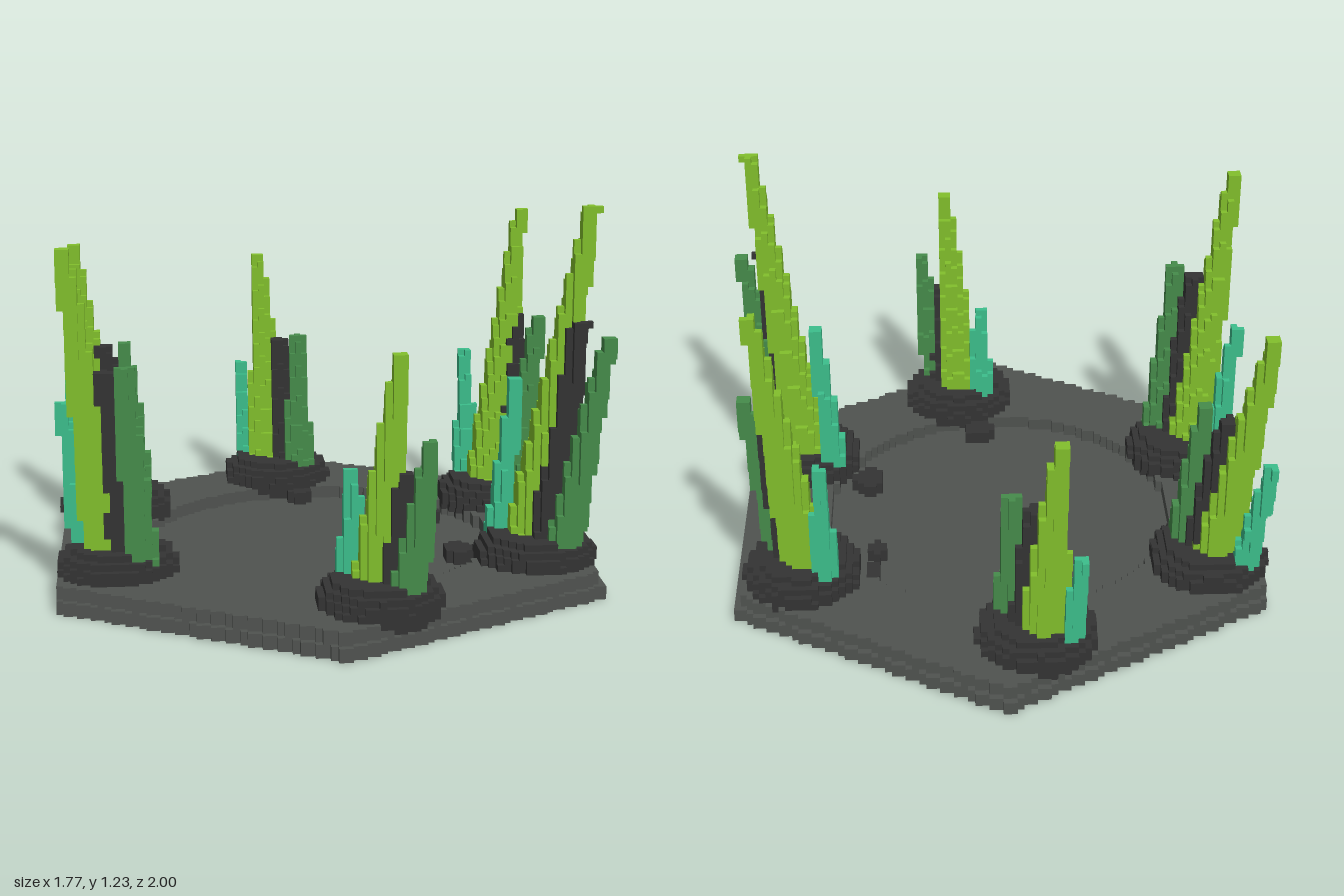
import * as THREE from 'three';

// Voxel grid: x and z run from -1 to 1, y starts at 0
const N = 94, NY = 60, S = 2 / N;

const material = (name, color) => Object.assign(new THREE.MeshStandardMaterial({ color }), { name });

// Each cluster: mound centre, then spikes as [base x, base z, tip x, tip z, tip height]
const clusters = [
  { mound: [-0.115, -0.73], lime: [-0.13, -0.76, -0.17, -0.89, 0.9], green: [-0.04, -0.67, -0.03, -0.74, 0.62],
    teal: [-0.21, -0.8, -0.24, -0.89, 0.48], rock: [-0.08, -0.72, -0.1, -0.78, 0.6] },
  { mound: [0.63, -0.38], lime: [0.62, -0.38, 0.74, -0.5, 1.1], green: [0.69, -0.31, 0.79, -0.37, 0.75],
    teal: [0.55, -0.46, 0.56, -0.54, 0.6], rock: [0.66, -0.36, 0.72, -0.43, 0.74] },
  { mound: [0.655, 0.32], lime: [0.64, 0.28, 0.8, 0.39, 1.24], green: [0.73, 0.39, 0.85, 0.45, 0.84],
    teal: [0.55, 0.23, 0.6, 0.235, 0.67], rock: [0.68, 0.34, 0.77, 0.39, 0.88] },
  { mound: [0.105, 0.73], lime: [0.1, 0.7, 0.15, 0.84, 0.87], green: [0.18, 0.79, 0.24, 0.86, 0.61],
    teal: [0.02, 0.66, 0.03, 0.67, 0.48], rock: [0.14, 0.74, 0.17, 0.81, 0.5] },
  { mound: [-0.685, 0.325], lime: [-0.71, 0.33, -0.83, 0.43, 1.13], green: [-0.61, 0.4, -0.65, 0.46, 0.76],
    teal: [-0.79, 0.28, -0.85, 0.27, 0.62], rock: [-0.66, 0.37, -0.71, 0.42, 0.74] },
  { mound: [-0.695, -0.35], lime: [-0.71, -0.36, -0.84, -0.49, 1.0], green: [-0.62, -0.3, -0.66, -0.35, 0.68],
    teal: [-0.8, -0.42, -0.86, -0.51, 0.55], rock: [-0.66, -0.34, -0.73, -0.4, 0.66] },
];

// Small stones by the inner ring: x, z, half sizes
const stones = [
  [0.4, -0.36, 0.025, 0.05], [0.395, -0.24, 0.025, 0.04], [0.43, 0.19, 0.05, 0.06],
  [0.04, 0.51, 0.055, 0.045], [-0.04, -0.53, 0.04, 0.04],
];

// Radius of each kind of spike at its foot and at its tip
const spikeRadius = { rock: [0.065, 0.03], teal: [0.045, 0.02], green: [0.06, 0.023], lime: [0.08, 0.022] };

function createModel() {
  const stone = material('grey stone', 0x505350);
  const dark = material('dark rock', 0x343434);
  const parts = [
    null,
    ['hexagonBase', stone],
    ['rockMounds', dark],
    ['rockSpikes', dark],
    ['tealCrystals', material('teal crystal', 0x3cbf8c)],
    ['greenCrystals', material('dark green crystal', 0x468c4b)],
    ['limeCrystals', material('lime crystal', 0x82c02c)],
  ];

  const grid = new Uint8Array(N * NY * N);
  const at = (i, j, k) =>
    i < 0 || j < 0 || k < 0 || i >= N || j >= NY || k >= N ? 0 : grid[(j * N + k) * N + i];
  const fill = (id, inside) => {
    for (let j = 0; j < NY; j++) for (let k = 0; k < N; k++) for (let i = 0; i < N; i++) {
      if (inside((i + 0.5) * S - 1, (j + 0.5) * S, (k + 0.5) * S - 1)) grid[(j * N + k) * N + i] = id;
    }
  };

  // Hexagonal slab with a stepped edge and a sunken round floor
  fill(1, (x, y, z) => {
    const u = Math.abs(x + 0.015), v = Math.abs(z);
    const reach = y < 2 * S ? 0.866 : 0.85;
    const top = Math.hypot(x + 0.02, z) < 0.58 ? 2 * S : 4 * S;
    return y < top && u < reach && u * 0.5 + v * 0.866 < reach;
  });

  // Rock mounds and stones
  for (const { mound: [mx, mz] } of clusters) {
    fill(2, (x, y, z) => y < 0.171 && Math.hypot((x - mx) / 0.192, (y - 0.1) / 0.092, (z - mz) / 0.192) < 1);
  }
  for (const [sx, sz, rx, rz] of stones) {
    fill(2, (x, y, z) => y < 4 * S && Math.hypot((x - sx) / rx, (z - sz) / rz) < 1);
  }

  // Leaning, tapering spikes
  ['rock', 'teal', 'green', 'lime'].forEach((kind, n) => {
    const [r0, r1] = spikeRadius[kind];
    for (const cluster of clusters) {
      const [bx, bz, tx, tz, h] = cluster[kind];
      fill(3 + n, (x, y, z) => {
        const t = (y - 0.13) / (h - 0.13);
        return t >= 0 && t <= 1 &&
          Math.hypot(x - bx - (tx - bx) * t, z - bz - (tz - bz) * t) < r0 + (r1 - r0) * t;
      });
    }
  });

  // Turn exposed voxel sides into quads, one mesh per part
  const positions = parts.map(() => []);
  for (let j = 0; j < NY; j++) for (let k = 0; k < N; k++) for (let i = 0; i < N; i++) {
    const id = at(i, j, k);
    if (!id) continue;
    for (let axis = 0; axis < 3; axis++) for (const side of [0, 1]) {
      const next = [i, j, k];
      next[axis] += side ? 1 : -1;
      if (at(...next)) continue;
      const a = (axis + 1) % 3, b = (axis + 2) % 3;
      const corner = (p, q) => {
        const c = [i, j, k];
        c[axis] += side;
        c[a] += p;
        c[b] += q;
        return [c[0] * S - 1, c[1] * S, c[2] * S - 1];
      };
      const quad = [corner(0, 0), corner(1, 0), corner(1, 1), corner(0, 1)];
      if (!side) quad.reverse();
      for (const n of [0, 1, 2, 0, 2, 3]) positions[id].push(...quad[n]);
    }
  }

  const group = new THREE.Group();
  group.name = 'crystalCircle';
  parts.forEach((part, id) => {
    if (!part) return;
    const geometry = new THREE.BufferGeometry();
    geometry.setAttribute('position', new THREE.Float32BufferAttribute(positions[id], 3));
    geometry.computeVertexNormals();
    const mesh = new THREE.Mesh(geometry, part[1]);
    mesh.name = part[0];
    group.add(mesh);
  });
  return group;
}

export { createModel };
